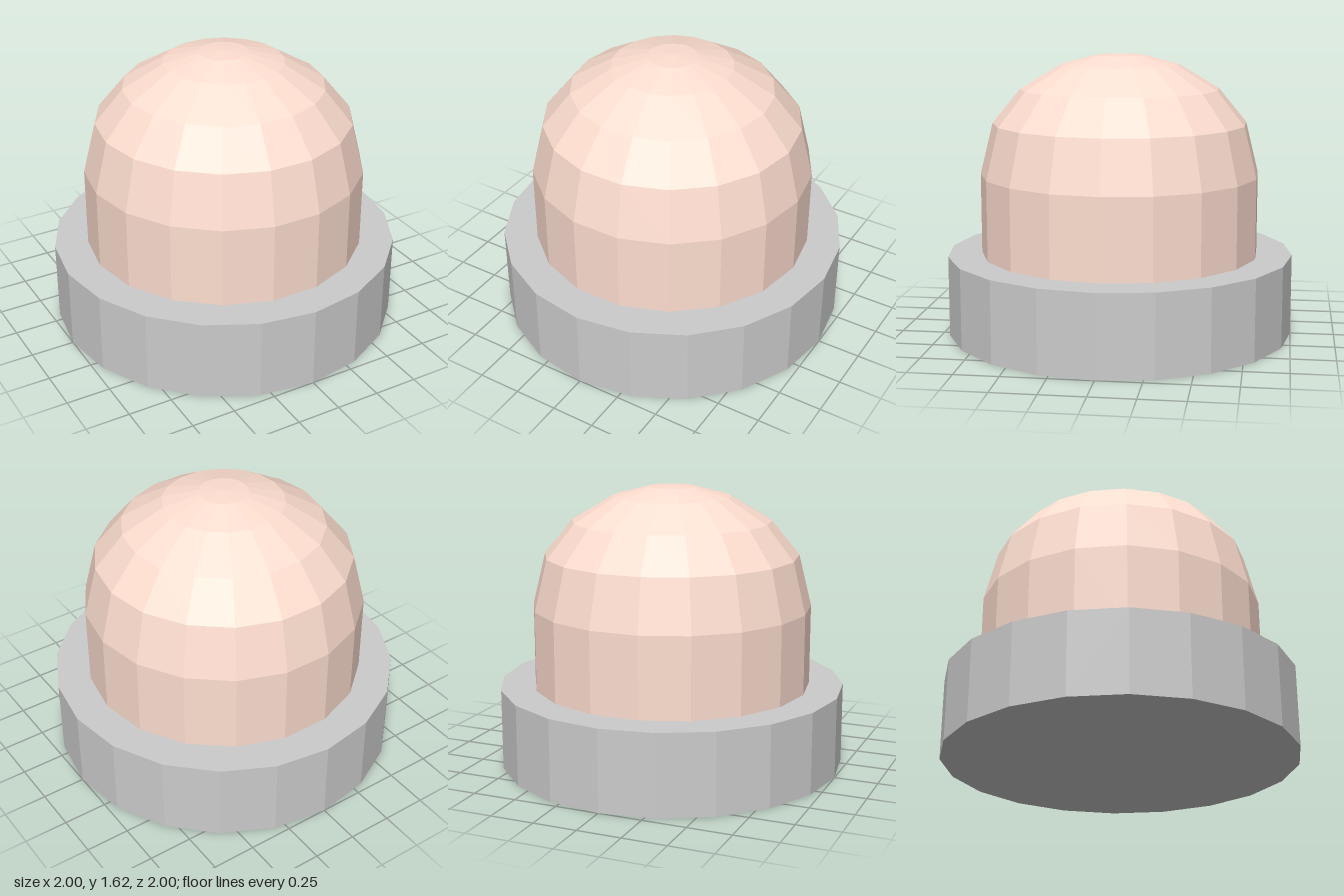
import * as THREE from 'three';

export function createModel() {
  const group = new THREE.Group();

  // Round base plate
  const baseHeight = 0.465;
  const base = new THREE.Mesh(
    new THREE.CylinderGeometry(1, 1, baseHeight, 20),
    new THREE.MeshStandardMaterial({ color: 0xcccccc, flatShading: true })
  );
  base.name = 'base';
  base.position.y = baseHeight / 2;
  group.add(base);

  // Faceted dome with straight lower wall: [radius, height]
  const profile = [
    [0.805, baseHeight], [0.805, 0.925], [0.732, 1.22],
    [0.572, 1.415], [0.342, 1.553], [0.14, 1.607], [0, 1.615],
  ].map(([r, y]) => new THREE.Vector2(r, y));
  const dome = new THREE.Mesh(
    new THREE.LatheGeometry(profile, 18, Math.PI / 2),
    new THREE.MeshStandardMaterial({ color: 0xfeded0, flatShading: true })
  );
  dome.name = 'dome';
  group.add(dome);

  return group;
}
